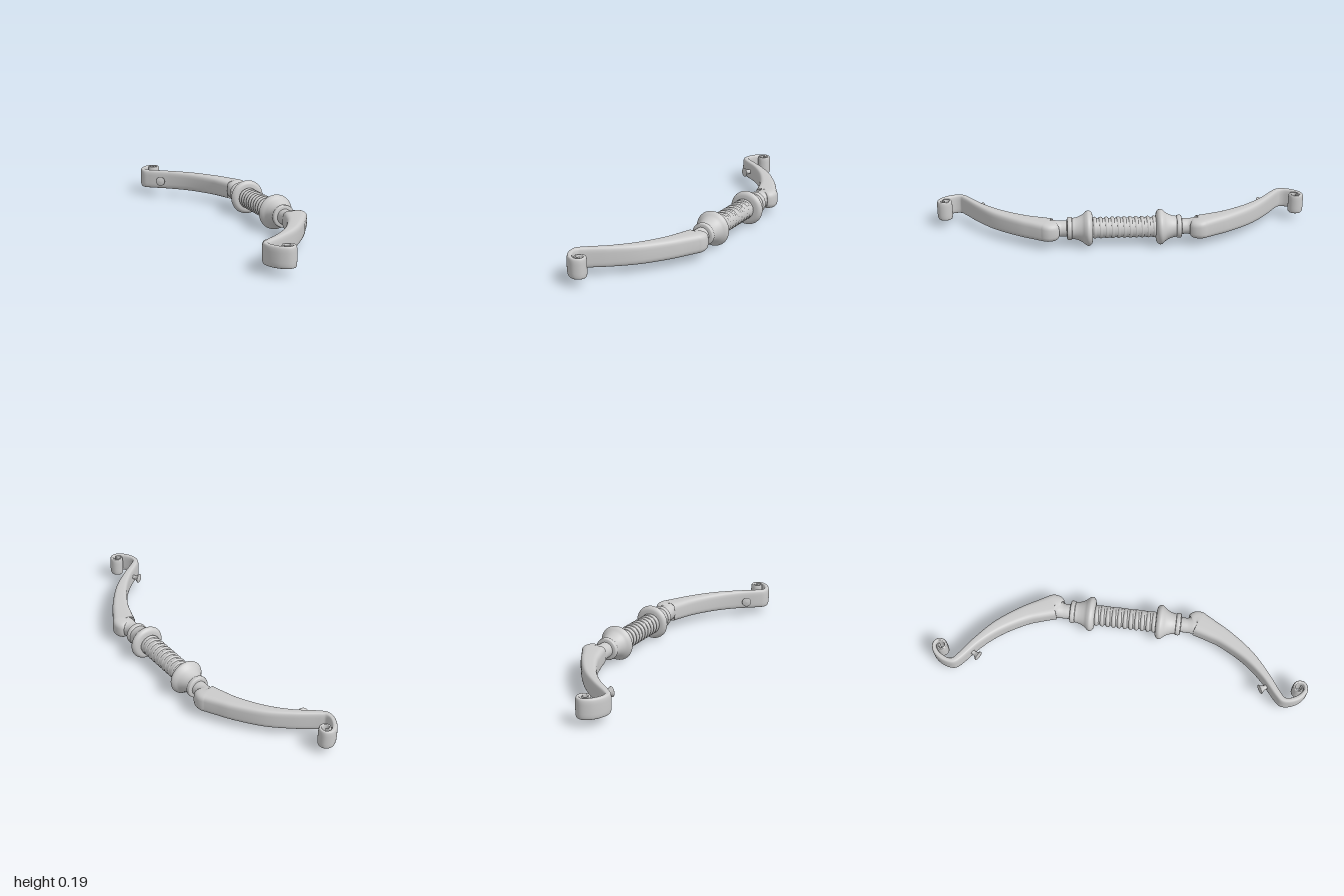
import * as THREE from 'three';

const AXIS_X = 0.145, AXIS_Y = 0.093;
const material = new THREE.MeshStandardMaterial({ color: 0xcccccc, side: THREE.DoubleSide });

function part(name, geometry) {
  const mesh = new THREE.Mesh(geometry, material);
  mesh.name = name;
  return mesh;
}

// Lathe from [radius, height] pairs, smoothed by a spline
function turned(points, segments = 40, steps = 48) {
  const curve = new THREE.SplineCurve(points.map(([r, h]) => new THREE.Vector2(r, h)));
  return new THREE.LatheGeometry(curve.getPoints(steps), segments);
}

// Limb and scroll: superellipse sections along a planar path of [x, z, thickness]
function limbGeometry() {
  const path = new THREE.CatmullRomCurve3([
    [0.145, 0.29, 0.082], [0.144, 0.335, 0.08], [0.148, 0.36, 0.09], [0.161, 0.385, 0.125],
    [0.152, 0.408, 0.12], [0.127, 0.465, 0.105], [0.095, 0.533, 0.09], [0.005, 0.668, 0.067],
    [-0.094, 0.767, 0.047], [-0.195, 0.845, 0.038], [-0.22, 0.87, 0.034], [-0.223, 0.9, 0.03],
    [-0.211, 0.935, 0.03], [-0.185, 0.97, 0.028], [-0.15, 0.988, 0.024], [-0.123, 0.977, 0.021],
    [-0.116, 0.955, 0.02], [-0.124, 0.935, 0.019], [-0.145, 0.926, 0.017], [-0.163, 0.935, 0.015],
    [-0.168, 0.951, 0.014], [-0.16, 0.965, 0.013], [-0.147, 0.967, 0.012], [-0.138, 0.957, 0.01],
  ].map(([x, z, t]) => new THREE.Vector3(x, t, z)));
  const rows = 190, sides = 32, pos = [], index = [];
  const power = (v, e) => Math.sign(v) * Math.abs(v) ** e;
  for (let i = 0; i <= rows; i++) {
    const p = path.getPoint(i / rows), t = path.getTangent(i / rows);
    t.y = 0;
    t.normalize();
    // The round neck grows into a taller, squarer limb
    const k = THREE.MathUtils.smoothstep(p.z, 0.33, 0.4);
    const half = 0.041 + 0.011 * k, e = 1 - 0.48 * k;
    for (let j = 0; j < sides; j++) {
      const a = (j / sides) * Math.PI * 2;
      const w = power(Math.cos(a), e) * p.y / 2;
      pos.push(p.x + t.z * w, power(Math.sin(a), e) * half, p.z - t.x * w);
      if (i < rows) {
        const a0 = i * sides + j, a1 = i * sides + (j + 1) % sides;
        index.push(a0, a1, a0 + sides, a1, a1 + sides, a0 + sides);
      }
    }
  }
  // Close the inner end of the scroll
  const end = path.getPoint(1), last = rows * sides, tip = pos.length / 3;
  pos.push(end.x, 0, end.z);
  for (let j = 0; j < sides; j++) index.push(tip, last + j, last + (j + 1) % sides);
  const g = new THREE.BufferGeometry();
  g.setAttribute('position', new THREE.Float32BufferAttribute(pos, 3));
  g.setIndex(index);
  g.computeVertexNormals();
  return g;
}

function createHalf() {
  const half = new THREE.Group();
  half.add(part('limb', limbGeometry()));

  // Flared collar and the bead beside it
  const collar = part('collar', turned([
    [0.045, 0.164], [0.075, 0.167], [0.089, 0.177], [0.093, 0.19], [0.086, 0.203],
    [0.073, 0.218], [0.063, 0.237], [0.057, 0.255], [0.054, 0.272], [0.045, 0.275],
  ]).rotateX(Math.PI / 2));
  const bead = part('collarBead', turned([
    [0.038, 0.27], [0.056, 0.273], [0.06, 0.28], [0.06, 0.291], [0.056, 0.298], [0.038, 0.301],
  ]).rotateX(Math.PI / 2));
  collar.position.x = bead.position.x = AXIS_X;
  half.add(collar, bead);

  // String peg on the concave side
  const peg = part('stringPeg', turned([
    [0.017, 0], [0.013, 0.018], [0.012, 0.034], [0.017, 0.046], [0.025, 0.056], [0.024, 0.062], [0, 0.066],
  ], 24));
  peg.position.set(-0.138, 0, 0.803);
  peg.quaternion.setFromUnitVectors(new THREE.Vector3(0, 1, 0), new THREE.Vector3(-0.5, 0, -0.86).normalize());
  half.add(peg);
  return half;
}

export function createModel() {
  const bow = new THREE.Group();
  bow.name = 'bow';

  // Grip core
  const grip = part('gripCore', new THREE.CylinderGeometry(0.051, 0.051, 0.36, 40).rotateX(Math.PI / 2));
  grip.position.set(AXIS_X, AXIS_Y, 0);
  bow.add(grip);

  // Cord wrapped around the grip, standing out more on the string side
  const wraps = new THREE.Group();
  wraps.name = 'gripWraps';
  const count = 11;
  for (let i = 0; i < count; i++) {
    const ring = part('gripWrap', new THREE.TorusGeometry(0.045, 0.012, 10, 40));
    ring.position.set(AXIS_X - 0.004, AXIS_Y, (i - (count - 1) / 2) * 0.031);
    ring.rotation.y = 0.04;
    wraps.add(ring);
  }
  bow.add(wraps);

  // The second half is the first turned about the x axis
  ['frontHalf', 'backHalf'].forEach((name, i) => {
    const half = createHalf();
    half.name = name;
    half.position.y = AXIS_Y;
    half.rotation.x = i * Math.PI;
    bow.add(half);
  });
  return bow;
}
